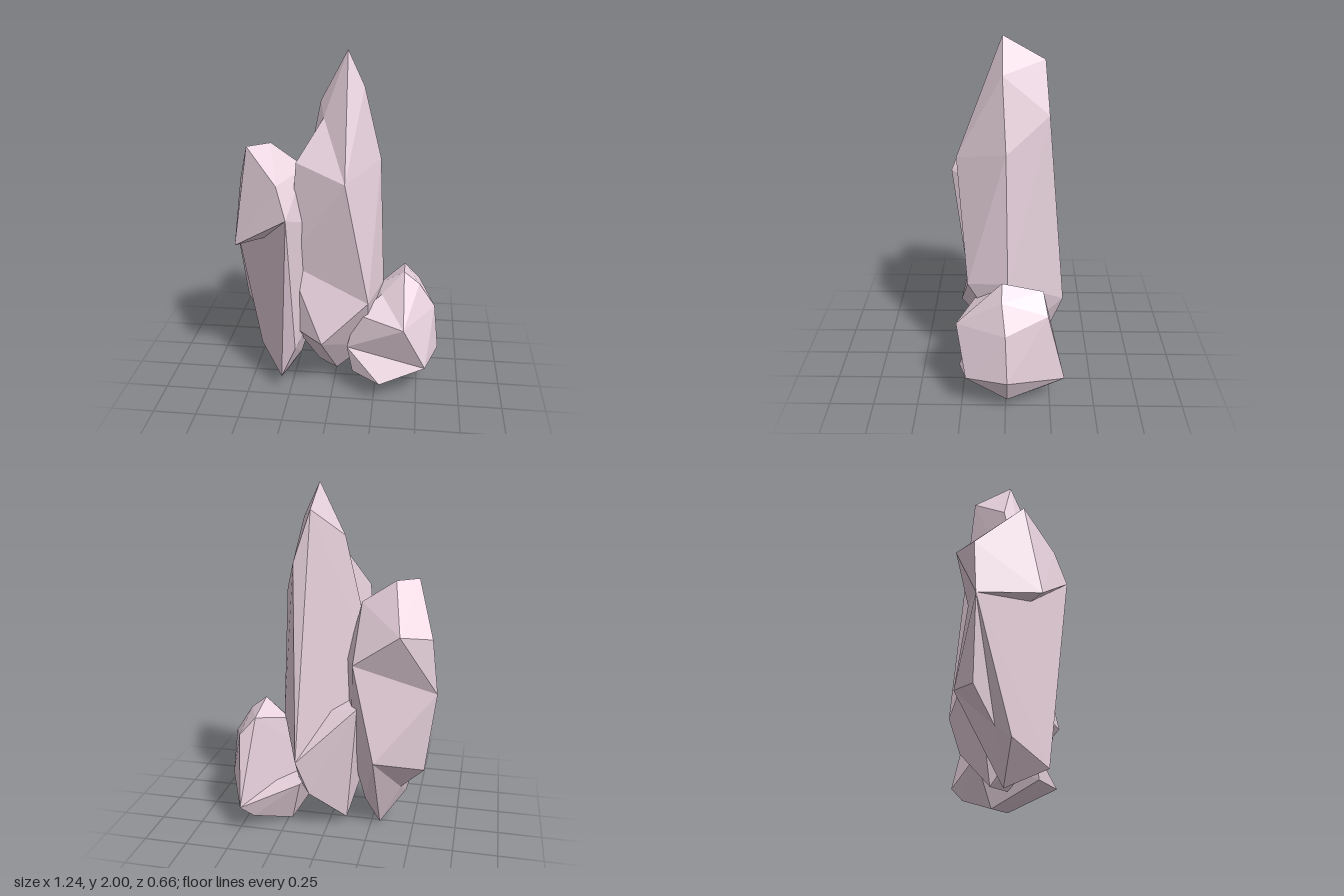
import * as THREE from 'three';
import { ConvexGeometry } from 'three/addons/geometries/ConvexGeometry.js';
import { mergeGeometries } from 'three/addons/utils/BufferGeometryUtils.js';

// Corners shared between the blocks
const FRONT = [0.08, 1.34, 0.275];
const DENT = [-0.055, 1.645, 0.06];
const LEFT = [-0.25, 0.82, 0.155];
const RIGHT = [0.285, 0.66, -0.01];
const FRONT_RIGHT = [0.21, 0.62, 0.22];
const BACK = [0.14, 0.49, -0.33];

// One crystal: convex blocks that meet in notches and an overhanging ledge
const BLOCKS = [
  // Shaft and tip
  [
    [0.07, 2.0, 0.02], [0.07, 1.875, -0.205], [0.16, 1.81, 0.02], [-0.08, 1.72, -0.02],
    [0.16, 1.6, -0.23], [0.255, 1.41, 0], FRONT, DENT, LEFT, RIGHT, FRONT_RIGHT, BACK,
  ],
  // Shoulder wedge at the front left
  [[-0.195, 1.42, 0.163], FRONT, DENT, LEFT, FRONT_RIGHT],
  // Foot, with a ledge jutting out at the back left
  [
    [-0.18, 0.78, -0.178], LEFT, RIGHT, FRONT_RIGHT, BACK,
    [-0.215, 0.41, 0.17], [-0.05, 0.37, 0.275], [0.08, 0.27, -0.26], [0.2, 0.22, -0.01],
    [-0.11, 0.05, -0.09], [0.01, 0.05, 0],
  ],
];

export function createModel() {
  const group = new THREE.Group();
  group.name = 'crystalCluster';

  const geometry = mergeGeometries(
    BLOCKS.map((block) => new ConvexGeometry(block.map((c) => new THREE.Vector3(...c))))
  );
  const material = new THREE.MeshStandardMaterial({ color: 0xe8d2dd, flatShading: true });

  // The same crystal, stretched to different heights
  function addCrystal(name, x, y, height, flip = false) {
    const crystal = new THREE.Mesh(geometry, material);
    crystal.name = name;
    crystal.position.set(x, y, 0);
    crystal.scale.y = height;
    if (flip) crystal.rotation.x = Math.PI;
    group.add(crystal);
  }

  addCrystal('tallCrystal', 0, 0, 1);
  addCrystal('shortCrystal', 0.335, -0.014, 0.375);
  addCrystal('upturnedCrystal', -0.37, 1.518, 0.759, true); // stands on its tip

  return group;
}
